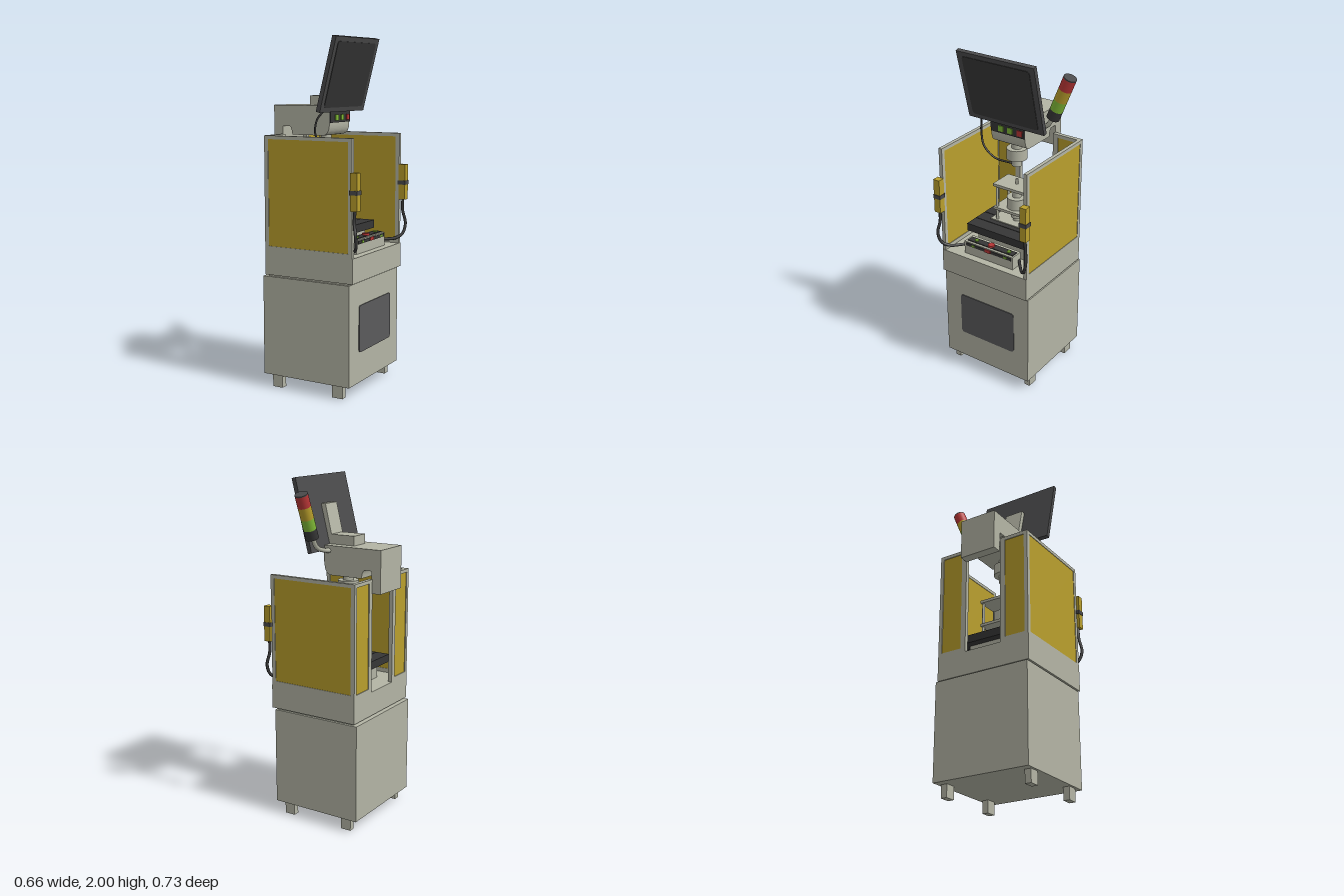
import * as THREE from 'three';

const mat = (name, color) => {
  const m = new THREE.MeshStandardMaterial({ color });
  m.name = name;
  return m;
};

export function createModel() {
  const grey = mat('bodyGrey', 0xb3b4a4), yellow = mat('panelYellow', 0xb89e2c);
  const black = mat('black', 0x363636), casing = mat('screenCasing', 0x4a4a4b);
  const door = mat('doorGrey', 0x5a5a5c), red = mat('red', 0xb83636);
  const green = mat('green', 0x7fb836);
  const model = new THREE.Group();
  model.name = 'pressStation';

  const add = (name, geo, material, parent = model) => {
    const m = new THREE.Mesh(geo, material);
    m.name = name;
    parent.add(m);
    return m;
  };
  // Box given by its minimum and maximum on each axis
  const box = (name, x0, x1, y0, y1, z0, z1, material = grey, parent = model) => {
    const g = new THREE.BoxGeometry(x1 - x0, y1 - y0, z1 - z0);
    g.translate((x0 + x1) / 2, (y0 + y1) / 2, (z0 + z1) / 2);
    return add(name, g, material, parent);
  };
  // Upright cylinder from y0 to y1
  const cyl = (name, x, z, r, y0, y1, material = grey, parent = model) => {
    const g = new THREE.CylinderGeometry(r, r, y1 - y0, 24);
    g.translate(x, (y0 + y1) / 2, z);
    return add(name, g, material, parent);
  };
  const tube = (name, pts, r, material = black) => add(name, new THREE.TubeGeometry(
    new THREE.CatmullRomCurve3(pts.map(p => new THREE.Vector3(...p))), 40, r, 8), material);
  // Side profile in x and y, extruded from z0 to z1
  const profile = (name, shape, z0, z1, material = grey) => {
    const g = new THREE.ExtrudeGeometry(shape, { depth: z1 - z0, bevelEnabled: false, curveSegments: 12 });
    g.translate(0, 0, z0);
    return add(name, g, material);
  };
  // Thin rounded plate facing +x, centred on its back face
  const plate = (w, h, r, t) => {
    const s = new THREE.Shape(), a = w / 2, b = h / 2;
    s.moveTo(-a + r, -b);
    s.lineTo(a - r, -b);
    s.quadraticCurveTo(a, -b, a, -b + r);
    s.lineTo(a, b - r);
    s.quadraticCurveTo(a, b, a - r, b);
    s.lineTo(-a + r, b);
    s.quadraticCurveTo(-a, b, -a, b - r);
    s.lineTo(-a, -b + r);
    s.quadraticCurveTo(-a, -b, -a + r, -b);
    return new THREE.ExtrudeGeometry(s, { depth: t, bevelEnabled: false, curveSegments: 5 }).rotateY(Math.PI / 2);
  };

  // Cabinet, feet and base
  box('cabinet', -0.29, 0.27, 0.075, 0.652, -0.25, 0.348);
  box('cabinetJoint', -0.26, 0.26, 0.65, 0.664, -0.235, 0.335);
  box('tableBase', -0.275, 0.29, 0.662, 0.803, -0.25, 0.348);
  for (const x of [-0.24, 0.155])
    for (const z of [-0.23, 0.295]) box('foot', x, x + 0.065, 0, 0.077, z, z + 0.038);
  add('doorPanel', plate(0.385, 0.27, 0.02, 0.004), door).position.set(0.27, 0.384, 0.043);

  // Guard side walls: rails, posts and a filled panel
  for (const z of [-0.25, 0.326]) {
    const z1 = z + 0.022;
    box('guardRearPost', -0.275, -0.25, 0.8, 1.455, z, z1);
    box('guardFrontPost', 0.263, 0.287, 0.8, 1.455, z, z1);
    box('guardLowerRail', -0.25, 0.263, 0.8, 0.828, z, z1);
    box('guardUpperRail', -0.25, 0.263, 1.435, 1.455, z, z1);
    box('guardSidePanel', -0.25, 0.263, 0.828, 1.435, z + 0.003, z1 - 0.003, yellow);
  }
  // Guard rear wall on both sides of the opening
  for (const [a, b, post] of [[-0.228, -0.097, -0.097], [0.198, 0.326, 0.167]]) {
    box('rearInnerPost', -0.275, -0.25, 0.8, 1.455, post, post + 0.032);
    box('rearLowerRail', -0.275, -0.25, 0.8, 0.828, a, b);
    box('rearUpperRail', -0.275, -0.25, 1.435, 1.455, a, b);
    box('rearPanel', -0.27, -0.255, 0.828, 1.435, a, b, yellow);
  }

  // Work table of four dark slabs
  box('tableSupport', -0.15, 0.12, 0.8, 0.895, -0.12, 0.21);
  for (let i = 0; i < 4; i++) {
    const x = -0.197 + i * 0.088;
    box('tableSlab', x, x + 0.084, 0.893, 0.94, -0.175, 0.268, black);
  }

  // Tooling fixture
  const cx = -0.047, cz = 0.048;
  box('fixtureBase', -0.125, 0.03, 0.94, 0.946, -0.094, 0.186);
  for (const x of [-0.105, 0.011])
    for (const z of [-0.058, 0.148]) cyl('guidePost', x, z, 0.008, 0.945, 1.18);
  box('fixtureLowerPlate', -0.125, 0.03, 1.015, 1.032, -0.066, 0.165);
  box('fixtureUpperPlate', -0.125, 0.03, 1.165, 1.182, -0.066, 0.165);
  cyl('fixtureCylinder', cx, cz, 0.06, 1.032, 1.1);
  cyl('fixtureNeck', cx, cz, 0.026, 1.1, 1.166);
  cyl('fixtureRod', cx, cz, 0.008, 1.18, 1.215);
  cyl('nestLower', cx, cz, 0.025, 0.945, 0.97);
  cyl('nestUpper', cx, cz, 0.036, 0.968, 0.99);

  // Press head with a notch at the rear and a rounded lower front
  const head = new THREE.Shape();
  head.moveTo(-0.328, 1.375);
  head.lineTo(-0.27, 1.375);
  head.lineTo(-0.27, 1.5);
  head.lineTo(-0.222, 1.5);
  head.quadraticCurveTo(-0.208, 1.49, -0.205, 1.452);
  head.lineTo(0, 1.452);
  head.quadraticCurveTo(0.04, 1.46, 0.04, 1.52);
  head.lineTo(0.04, 1.62);
  head.lineTo(-0.328, 1.62);
  profile('pressHead', head, -0.068, 0.162);
  cyl('ramNeck', cx, cz, 0.03, 1.41, 1.455);
  cyl('ramCollar', cx, cz, 0.06, 1.348, 1.413);
  cyl('ramTip', cx, cz, 0.03, 1.303, 1.35);
  box('headControlStrip', 0.04, 0.046, 1.524, 1.585, -0.066, 0.162, black);
  for (const [z, m] of [[0.09, green], [0.028, green], [-0.036, red]])
    box('headButton', 0.046, 0.051, 1.535, 1.568, z - 0.017, z + 0.017, m);

  // Monitor on its arm
  box('armBase', -0.122, 0.045, 1.62, 1.675, -0.012, 0.104);
  profile('monitorArm', new THREE.Shape([[0.028, 1.625], [0.05, 1.64], [0.1, 1.838], [0.092, 1.846], [0.07, 1.845], [0.03, 1.68]]
    .map(p => new THREE.Vector2(...p))), -0.012, 0.104);
  const monitor = new THREE.Group();
  monitor.name = 'monitor';
  monitor.position.set(0.099, 1.793, 0.048);
  monitor.rotation.z = -0.25;
  model.add(monitor);
  box('monitorCasing', -0.0125, 0.0125, -0.212, 0.212, -0.253, 0.253, casing, monitor);
  add('screen', plate(0.44, 0.37, 0.02, 0.003), black, monitor).position.x = 0.0125;
  tube('monitorCable', [[0.05, 1.6, 0.225], [0.015, 1.55, 0.25], [0.005, 1.48, 0.26], [0.015, 1.4, 0.235],
    [0, 1.335, 0.17], [-0.03, 1.315, 0.07]], 0.006);

  // Signal lamp leaning outwards
  tube('lampArm', [[0.01, 1.59, -0.06], [0.01, 1.6, -0.12], [0.01, 1.625, -0.19], [0.01, 1.69, -0.233]], 0.013, grey);
  const lamp = new THREE.Group();
  lamp.name = 'signalLamp';
  lamp.position.set(0.012, 1.68, -0.23);
  lamp.rotation.x = -0.39;
  model.add(lamp);
  [['lampFoot', 0, 0.058, black], ['greenLamp', 0.058, 0.122, green], ['yellowLamp', 0.122, 0.194, yellow],
    ['redLamp', 0.194, 0.262, red], ['lampCap', 0.262, 0.268, casing]]
    .forEach(([n, a, b, m]) => cyl(n, 0, 0, 0.037, a, b, m, lamp));

  // Operator console
  box('console', 0.165, 0.245, 0.8, 0.882, -0.125, 0.217);
  box('consoleStrip', 0.187, 0.23, 0.882, 0.887, -0.115, 0.203, black);
  box('consoleFrontStrip', 0.245, 0.249, 0.858, 0.876, -0.115, 0.203, black);
  for (const z of [-0.075, 0.152]) cyl('startButton', 0.21, z, 0.012, 0.886, 0.893, green);
  cyl('stopButton', 0.212, 0.047, 0.021, 0.886, 0.897, red);
  for (const z of [-0.075, 0.152]) box('frontButton', 0.249, 0.252, 0.861, 0.873, z - 0.011, z + 0.011, green);
  box('frontStopButton', 0.249, 0.254, 0.859, 0.879, 0.027, 0.067, red);

  // Sensor bars with bands and cables, mirrored about the middle
  for (const s of [-1, 1]) {
    const z = 0.048 + s * 0.296;
    box('sensorBar', 0.284, 0.325, 1.065, 1.272, z - 0.021, z + 0.021, yellow);
    box('sensorBand', 0.28, 0.328, 1.153, 1.177, z - 0.024, z + 0.024, casing);
    tube('sensorCable', [[0.303, 1.07, 0], [0.301, 1.0, 0.004], [0.315, 0.92, 0.014], [0.305, 0.86, -0.006],
      [0.275, 0.836, -0.04], [0.22, 0.833, -0.09], [0.17, 0.833, -0.13]]
      .map(([x, y, d]) => [x, y, z + s * d]), 0.009);
  }
  return model;
}
